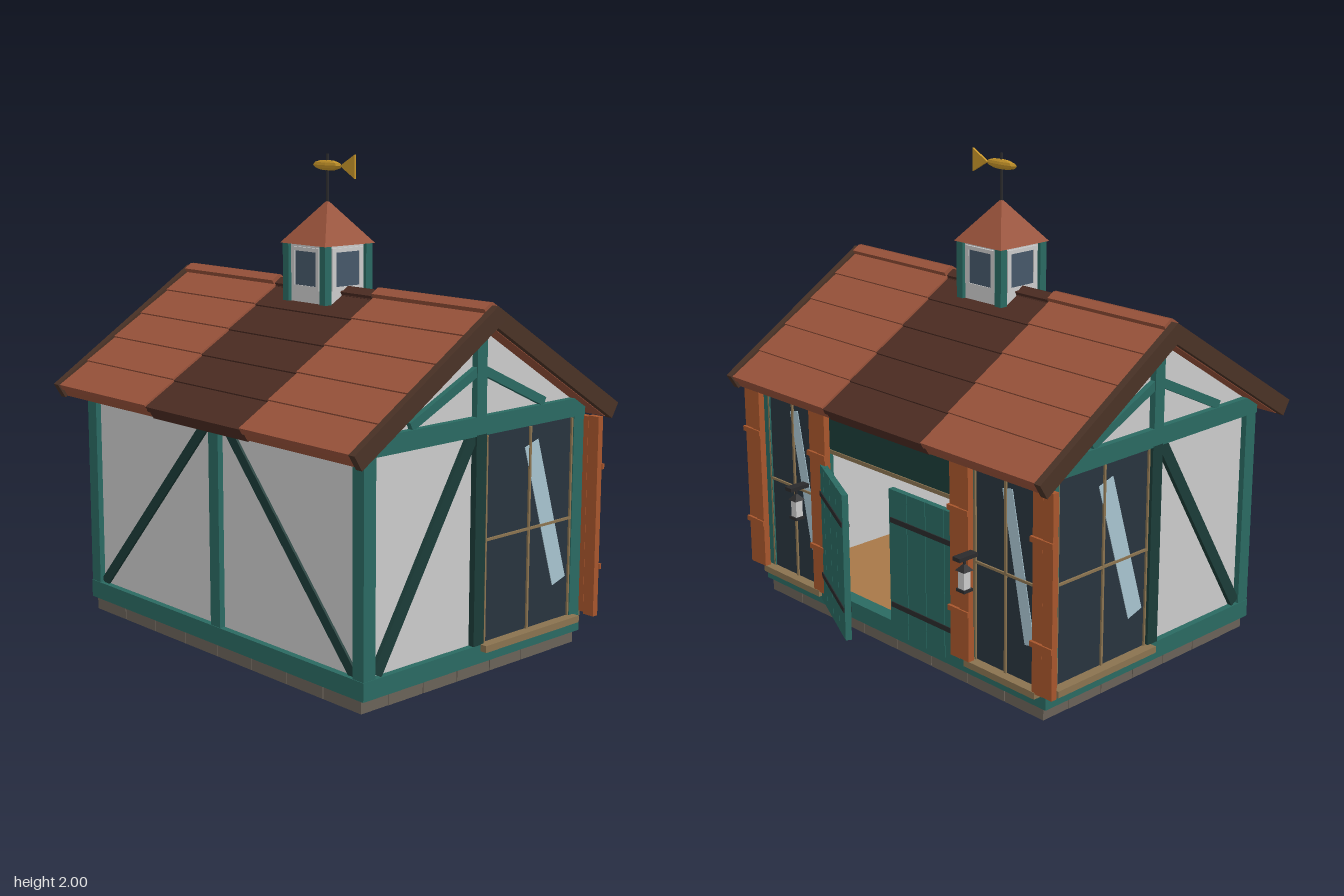
import * as THREE from 'three';

const GREY = 0xcccccc, TEAL = 0x2a6a62, DARK_TEAL = 0x1b3c38, ROOF = 0x98523a, ROOF_DARK = 0x4c2c22,
  BARGE = 0x4a3226, SHUTTER = 0xa8562c, GLASS = 0x28343e, GLARE = 0xa8c4d0, TAN = 0x8a7350,
  IRON = 0x2a2a2c, GOLD = 0xc8962a, STONE = 0x6a6258;
const ZC = 0.04; // centre line of the house in z
const UP = new THREE.Vector3(0, 1, 0);

const mats = {};
function mat(color) {
  return mats[color] ??= new THREE.MeshStandardMaterial({ color, flatShading: true, side: THREE.DoubleSide });
}
function add(parent, name, geo, color, x = 0, y = 0, z = 0) {
  const m = new THREE.Mesh(geo, mat(color));
  m.name = name;
  m.position.set(x, y, z);
  parent.add(m);
  return m;
}
function box(parent, name, color, w, h, d, x, y, z) {
  return add(parent, name, new THREE.BoxGeometry(w, h, d), color, x, y, z);
}
// box given by its two opposite corners
function span(parent, name, color, a, b) {
  const c = a.map((v, i) => (v + b[i]) / 2), s = a.map((v, i) => Math.abs(v - b[i]));
  return box(parent, name, color, ...s, ...c);
}
// timber running between two points of the parent's space
function beam(parent, name, color, p, q, depth, height) {
  const a = new THREE.Vector3(...p), b = new THREE.Vector3(...q);
  const m = box(parent, name, color, depth, height, a.distanceTo(b), 0, 0, 0);
  m.position.copy(a).add(b).multiplyScalar(0.5);
  m.quaternion.setFromRotationMatrix(new THREE.Matrix4().lookAt(b, a, UP));
}
function group(parent, name, x = 0, y = 0, z = 0, ry = 0) {
  const g = new THREE.Group();
  g.name = name;
  g.position.set(x, y, z);
  g.rotation.y = ry;
  parent.add(g);
  return g;
}

// tall window facing its own +z
function addWindow(parent, x, z, ry, w) {
  const h = 0.83, g = group(parent, 'window', x, 0.545, z, ry);
  box(g, 'glass', GLASS, w, h, 0.012, 0, 0, 0);
  beam(g, 'glassGlare', GLARE, [0.02 * w, 0.345, 0.007], [0.38 * w, -0.255, 0.007], 0.004, 0.16 * w);
  box(g, 'verticalBar', TAN, 0.01, h, 0.012, 0, 0, 0.008);
  box(g, 'horizontalBar', TAN, w, 0.01, 0.012, 0, 0, 0.008);
  for (const s of [-1, 1]) box(g, 'windowEdge', TAN, 0.008, h, 0.014, s * (w / 2 - 0.004), 0, 0.007);
  box(g, 'windowSill', TAN, w + 0.05, 0.028, 0.08, 0, -h / 2 - 0.012, 0.01);
}

function addShutter(parent, x) {
  const g = group(parent, 'shutter', x, 0.545, -0.595);
  for (const s of [-1, 1]) box(g, 'shutterPlank', SHUTTER, 0.052, 0.83 + s * 0.006, 0.028, s * 0.029, 0, s * 0.003);
  for (const y of [-0.21, 0.21]) box(g, 'shutterBatten', SHUTTER, 0.116, 0.022, 0.012, 0, y, -0.018);
}

// half-height leaf hinged at its origin, running along dir * x, outside facing -z
function addDoor(parent, x, ry, dir) {
  const g = group(parent, 'doorLeaf', x, 0, -0.578, ry), w = 0.44, n = 4;
  for (let i = 0; i < n; i++)
    box(g, 'doorPlank', TEAL, w / n - 0.003, 0.63, 0.026, dir * (i + 0.5) * w / n, 0.405, 0);
  box(g, 'doorBacking', DARK_TEAL, w - 0.01, 0.62, 0.014, dir * w / 2, 0.405, 0.004);
  for (const y of [0.22, 0.59]) box(g, 'hingeStrap', IRON, w * 0.97, 0.022, 0.034, dir * w * 0.49, y, 0);
}

function addLantern(parent, x) {
  const g = group(parent, 'lantern', x, 0.51, -0.66);
  box(g, 'lanternGlass', GREY, 0.034, 0.075, 0.034, 0, 0, 0);
  box(g, 'lanternBase', IRON, 0.046, 0.012, 0.046, 0, -0.043, 0);
  add(g, 'lanternCap', new THREE.ConeGeometry(0.036, 0.03, 4), IRON, 0, 0.052, 0).rotation.y = Math.PI / 4;
  box(g, 'lanternHook', IRON, 0.008, 0.03, 0.008, 0, 0.077, 0);
  box(g, 'lanternBracket', IRON, 0.04, 0.016, 0.095, 0, 0.092, 0.005);
}

function addFoundation(house) {
  const g = group(house, 'foundation');
  const ring = (count, length, place) => {
    for (let i = 0; i < count; i++) place((i + 0.5) / count - 0.5, length / count - 0.004, ((i * 7) % 3) * 0.004);
  };
  for (const s of [-1, 1]) {
    ring(8, 1.7, (t, w, j) => box(g, 'stone', STONE, w, 0.055, 0.14 - j, t * 1.7, 0.0275, ZC + s * (0.53 + j / 2)));
    ring(5, 0.93, (t, w, j) => box(g, 'stone', STONE, 0.14 - j, 0.055, w, s * (0.78 + j / 2), 0.0275, ZC + t * 0.93));
  }
  box(g, 'floor', 0x4a3626, 1.66, 0.045, 1.14, 0, 0.0425, ZC);
  box(g, 'floorBoards', 0xa87848, 1.66, 0.02, 1.14, 0, 0.08, ZC);
}

function addLongWalls(house) {
  // plain front wall with braces
  span(house, 'frontWall', GREY, [-0.83, 0.06, 0.6], [0.83, 1.0, 0.625]);
  box(house, 'frontPost', TEAL, 0.06, 0.88, 0.05, 0, 0.53, 0.625);
  for (const s of [-1, 1]) {
    beam(house, 'frontBrace', DARK_TEAL, [s * 0.8, 0.13, 0.62], [s * 0.05, 0.97, 0.62], 0.03, 0.045);
    span(house, 'sillBeam', TEAL, [-0.87, 0.055, ZC + s * 0.55], [0.87, 0.13, ZC + s * 0.613]);
    span(house, 'wallPlate', TEAL, [-0.86, 0.96, ZC + s * 0.56], [0.86, 1.02, ZC + s * 0.605]);
    for (const f of [-1, 1])
      span(house, 'cornerPost', TEAL, [s * 0.81, 0.055, ZC + f * 0.55], [s * 0.87, 1.02, ZC + f * 0.61]);

    // windowed back wall either side of the doorway
    span(house, 'backWall', GREY, [s * 0.45, 0.06, -0.52], [s * 0.83, 1.0, -0.55]);
    span(house, 'doorPost', TEAL, [s * 0.44, 0.06, -0.52], [s * 0.49, 0.97, -0.562]);
    addWindow(house, s * 0.65, -0.558, Math.PI, 0.34);
    addShutter(house, s * 0.435);
    addShutter(house, s * 0.885);
    addLantern(house, s * 0.52);
  }
  span(house, 'doorLintel', DARK_TEAL, [-0.45, 0.78, -0.52], [0.45, 0.97, -0.57]);
  span(house, 'lintelTrim', TAN, [-0.45, 0.765, -0.515], [0.45, 0.782, -0.575]);
  addDoor(house, -0.44, 0, 1);
  addDoor(house, 0.455, -0.445, -1);
}

function addGable(house, s) {
  const g = group(house, s > 0 ? 'leftGable' : 'rightGable');
  const shape = new THREE.Shape([[-0.54, 0.06], [0.62, 0.06], [0.62, 1.035], [ZC, 1.4], [-0.54, 1.035]]
    .map(p => new THREE.Vector2(...p)));
  const wall = add(g, 'gableWall', new THREE.ExtrudeGeometry(shape, { depth: 0.03, bevelEnabled: false }), GREY,
    s > 0 ? 0.845 : -0.815);
  wall.rotation.y = -Math.PI / 2;
  const X = s * 0.85, strip = (name, c, z0, y0, z1, y1) => span(g, name, c, [s * 0.82, y0, z0], [s * 0.872, y1, z1]);
  strip('sideSill', TEAL, -0.57, 0.055, 0.65, 0.13);
  strip('tieBeam', TEAL, -0.575, 0.965, 0.655, 1.04);
  strip('sidePost', DARK_TEAL, 0.008, 0.13, 0.065, 0.97);
  strip('kingPost', TEAL, 0.012, 1.04, 0.066, 1.36);
  beam(g, 'sideBrace', DARK_TEAL, [X, 0.14, 0.575], [X, 0.965, 0.075], 0.03, 0.05);
  for (const f of [-1, 1])
    beam(g, 'gableBrace', TEAL, [X, 1.05, ZC + f * 0.37], [X, 1.225, ZC], 0.036, 0.036);
  addWindow(g, s * 0.852, -0.255, s * Math.PI / 2, 0.51);
}

function addRoof(house) {
  const len = 0.852, courses = 5, step = len / courses;
  for (const ry of [0, Math.PI]) {
    const slope = group(group(house, 'roofSide', 0, 1.47, ZC, ry), 'roofSlope');
    slope.rotation.x = Math.atan2(0.46, 0.73);
    for (const s of [-1, 1]) box(slope, 'bargeBoard', BARGE, 0.032, 0.07, 0.863, s * 0.932, -0.035, 0.4315);
    // three panels of overlapping courses, the middle one set a little lower
    for (const [x, w, color, drop] of [[-0.61, 0.62, ROOF, 0], [0, 0.602, ROOF_DARK, 0.008], [0.61, 0.62, ROOF, 0]]) {
      box(slope, 'roofDeck', color, w, 0.034, len - 0.004, x, -0.055 - drop, len / 2);
      for (let k = 0; k < courses; k++) {
        const c = box(slope, 'roofCourse', color, w, 0.026, step + 0.01, x, -0.022 - drop, step * (k + 0.5));
        c.rotation.x = -0.04;
      }
      box(slope, 'ridgeCap', color, w - 0.01, 0.02, 0.042, x, 0.002 - drop * 1.5, 0.02);
    }
  }
}

function addCupola(house) {
  const g = group(house, 'cupola', 0, 0, ZC);
  box(g, 'cupolaWalls', GREY, 0.23, 0.24, 0.23, 0, 1.52, 0);
  for (let i = 0; i < 4; i++) {
    const side = group(g, 'cupolaSide', 0, 1.52, 0, i * Math.PI / 2);
    box(side, 'cupolaPost', TEAL, 0.035, 0.24, 0.035, 0.113, 0, 0.113);
    box(side, 'cupolaWindow', 0x46586a, 0.13, 0.14, 0.01, 0, 0.02, 0.115);
    for (const s of [-1, 1]) {
      box(side, 'cupolaWindowFrame', GREY, 0.02, 0.17, 0.014, s * 0.074, 0.02, 0.117);
      box(side, 'cupolaWindowFrame', GREY, 0.168, 0.016, 0.014, 0, 0.02 + s * 0.078, 0.117);
    }
  }
  const cap = new THREE.ConeGeometry(0.138 * Math.SQRT2, 0.175, 4).rotateY(Math.PI / 4);
  add(g, 'cupolaRoof', cap, ROOF, 0, 1.725, 0);
  add(g, 'vanePole', new THREE.CylinderGeometry(0.006, 0.006, 0.21, 6), IRON, 0, 1.895, 0);

  // fish weather vane
  const body = new THREE.SphereGeometry(0.088, 8, 6).scale(1, 0.25, 0.16);
  add(g, 'vaneBody', body, GOLD, 0, 1.953, 0);
  const tail = new THREE.ExtrudeGeometry(new THREE.Shape(
    [[0.08, 0], [0.166, 0.048], [0.166, -0.048]].map(p => new THREE.Vector2(...p))),
    { depth: 0.01, bevelEnabled: false });
  add(g, 'vaneTail', tail, GOLD, 0, 1.953, -0.005);
}

export function createModel() {
  const house = new THREE.Group();
  house.name = 'timberHouse';
  addFoundation(house);
  addLongWalls(house);
  for (const s of [-1, 1]) addGable(house, s);
  addRoof(house);
  addCupola(house);
  return house;
}
